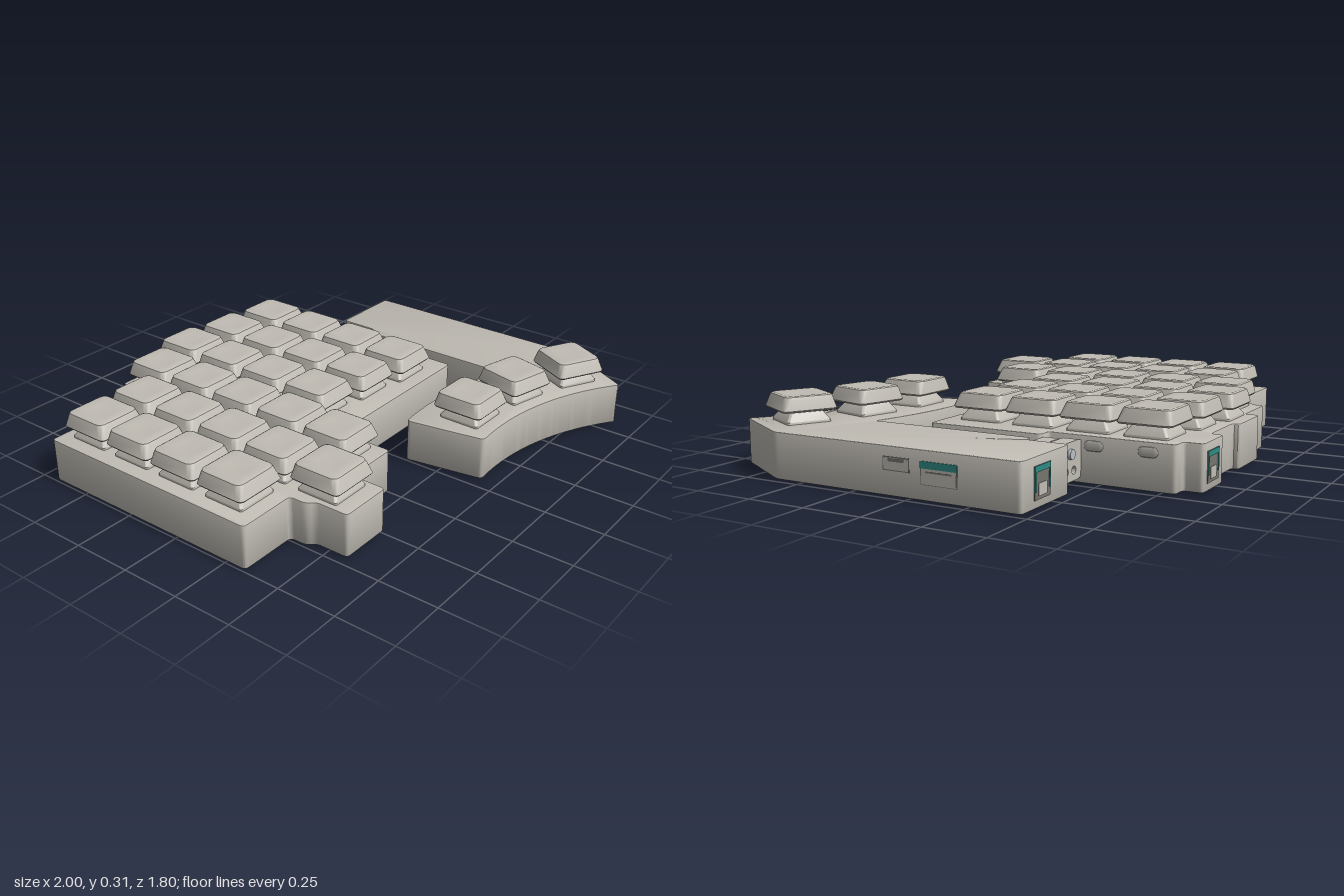
import * as THREE from 'three';
import { toCreasedNormals } from 'three/addons/utils/BufferGeometryUtils.js';

const material = (name, color) => Object.assign(new THREE.MeshStandardMaterial({ color }), { name });

// Closed shape with every corner rounded; points are [x, z] seen from above
function roundedShape(points, r) {
  const v = points.map(([x, z]) => new THREE.Vector2(x, -z));
  const shape = new THREE.Shape();
  v.forEach((p, i) => {
    const a = v[(i + v.length - 1) % v.length], b = v[(i + 1) % v.length];
    const from = p.clone().lerp(a, Math.min(0.45, r / p.distanceTo(a)));
    const to = p.clone().lerp(b, Math.min(0.45, r / p.distanceTo(b)));
    if (i === 0) shape.moveTo(from.x, from.y); else shape.lineTo(from.x, from.y);
    shape.quadraticCurveTo(p.x, p.y, to.x, to.y);
  });
  shape.closePath();
  return shape;
}

// Case: outline raised from y0 to y1 with a fine edge bevel
function caseGeometry(points, r, y0, y1) {
  const b = 0.005;
  const g = new THREE.ExtrudeGeometry(roundedShape(points, r), {
    depth: y1 - y0 - 2 * b, bevelThickness: b, bevelSize: b, bevelOffset: -b, bevelSegments: 2, curveSegments: 4,
  });
  g.rotateX(-Math.PI / 2).translate(0, y0 + b, 0);
  return toCreasedNormals(g, 0.5);
}

// Skin over rounded squares; each section is [width, cornerRadius, y, zShift]
function squareLoft(sections) {
  const pos = [], index = [], n = 20;
  for (const [w, r, y, dz = 0] of sections) {
    for (let j = 0; j < n; j++) {
      const corner = Math.floor(j / 5), t = (corner + (j % 5) / 4) * Math.PI / 2;
      const sx = corner === 0 || corner === 3 ? 1 : -1, sz = corner < 2 ? 1 : -1;
      pos.push(sx * (w / 2 - r) + Math.cos(t) * r, y, sz * (w / 2 - r) + Math.sin(t) * r + dz);
    }
  }
  for (let i = 0; i < sections.length - 1; i++) {
    for (let j = 0; j < n; j++) {
      const a = i * n + j, b = i * n + (j + 1) % n;
      index.push(a, a + n, b, b, a + n, b + n);
    }
  }
  const g = new THREE.BufferGeometry();
  g.setAttribute('position', new THREE.Float32BufferAttribute(pos, 3));
  g.setIndex(index);
  return toCreasedNormals(g, 0.6);
}

export function createModel() {
  const model = new THREE.Group();
  model.name = 'splitKeyboardHalf';
  const shell = material('warm grey plastic', 0xc0bcb4);
  const steel = material('pale steel', 0xb9c1c6);
  const teal = material('teal connector', 0x2f8a84);
  const dark = material('socket shadow', 0x77746f);

  const add = (name, geometry, mat, x = 0, y = 0, z = 0, parent = model) => {
    const m = new THREE.Mesh(geometry, mat);
    m.name = name;
    m.position.set(x, y, z);
    parent.add(m);
    return m;
  };
  const box = (name, mat, w, h, d, x, y, z, parent) =>
    add(name, new THREE.BoxGeometry(w, h, d), mat, x, y, z, parent);

  // Main case with stepped outline
  add('mainCase', caseGeometry([
    [-1, -0.67], [-0.515, -0.67], [-0.515, -0.76], [-0.485, -0.77], [-0.485, -0.82], [-0.245, -0.82],
    [-0.245, -0.88], [-0.01, -0.88], [-0.01, -0.85], [0.225, -0.85], [0.225, -0.90], [0.425, -0.90],
    [0.425, -0.82], [0.49, -0.82], [0.49, -0.30], [0.55, -0.30], [0.55, 0.20], [-0.22, 0.20],
    [-0.22, 0.27], [-0.25, 0.30], [-0.25, 0.44], [-0.47, 0.44], [-0.49, 0.47], [-0.49, 0.59],
    [-0.72, 0.59], [-0.72, 0.45], [-0.75, 0.42], [-0.75, 0.35], [-1, 0.35],
  ], 0.02, 0.01, 0.193), shell);

  // Thumb case: straight arm with a curved key shelf, arcs share one centre
  const arc = { x: 0.17, z: 1.78 };
  const arcPoints = (radius, x0, x1) => Array.from({ length: 13 }, (_, i) => {
    const x = x0 + (x1 - x0) * i / 12;
    return [x, arc.z - Math.sqrt(radius * radius - (x - arc.x) ** 2)];
  });
  add('thumbCase', caseGeometry([
    [0.66, -0.48], [1, -0.48], [1, 0.6], [0.825, 0.9],
    ...arcPoints(1.1, 0.80, 0.045), ...arcPoints(1.44, -0.01, 0.62),
    [0.62, -0.30], [0.66, -0.30],
  ], 0.02, 0.01, 0.193), shell);

  // Key: tapered switch housing, stem and dished cap
  const housingGeometry = squareLoft([[0.18, 0.01, 0.19], [0.18, 0.01, 0.202], [0.135, 0.01, 0.235], [0, 0, 0.235]]);
  const stemGeometry = new THREE.BoxGeometry(0.07, 0.025, 0.07);
  const capGeometry = squareLoft([
    [0, 0, 0.243], [0.215, 0.018, 0.243], [0.226, 0.022, 0.25], [0.203, 0.026, 0.292, -0.004],
    [0.194, 0.026, 0.303, -0.005], [0.178, 0.026, 0.307, -0.006], [0.1, 0.03, 0.303, -0.006], [0, 0, 0.302, -0.006],
  ]);
  const addKey = (name, x, z, turn = 0) => {
    const key = new THREE.Group();
    key.name = name;
    add('switchHousing', housingGeometry, shell, 0, 0, 0, key);
    add('switchStem', stemGeometry, shell, 0, 0.24, 0, key);
    add('keycap', capGeometry, shell, 0, 0, 0, key);
    key.position.set(x, 0, z);
    key.rotation.y = turn;
    model.add(key);
  };
  // Staggered columns: [rear key z, key count]
  [[-0.525, 4], [-0.525, 5], [-0.675, 5], [-0.735, 4], [-0.705, 4], [-0.675, 4]].forEach(([z, count], c) => {
    for (let r = 0; r < count; r++) addKey('fingerKey', -0.846 + c * 0.239, z + r * 0.239);
  });
  for (const angle of [0.016, 0.25, 0.49]) {
    addKey('thumbKey', arc.x + 1.25 * Math.sin(angle), arc.z - 1.25 * Math.cos(angle), -angle);
  }

  // Hinge plates with three bolt holes each
  const plate = (name, x0, x1, z, flip) => {
    const s = roundedShape([[x0, -0.03], [x1, -0.03], [x1, -0.18], [x0, -0.18]], 0.05);
    for (const [x, y] of [[0.575, 0.135], [0.545, 0.07], [0.605, 0.07]]) {
      s.holes.push(new THREE.Path().absarc(x + flip, y, 0.016, 0, Math.PI * 2, true));
    }
    add(name, new THREE.ExtrudeGeometry(s, { depth: 0.065, bevelEnabled: false, curveSegments: 8 }), shell, 0, 0, z);
  };
  plate('mainHingePlate', 0.47, 0.66, -0.438, 0);
  plate('thumbHingePlate', 0.49, 0.68, -0.368, 0);

  // Hinge rod and knuckles along z
  const rod = (name, mat, r, z0, z1, x, y) =>
    add(name, new THREE.CylinderGeometry(r, r, z1 - z0, 20).rotateX(Math.PI / 2), mat, x, y, (z0 + z1) / 2);
  rod('hingeRod', steel, 0.02, -0.45, 0.14, 0.575, 0.135);
  rod('lowerHingeRod', steel, 0.014, -0.30, -0.16, 0.605, 0.07);
  rod('frontKnuckle', shell, 0.034, 0.01, 0.125, 0.58, 0.12);
  box('hingeBlock', shell, 0.075, 0.11, 0.16, 0.585, 0.10, -0.08);

  // Rear cable sockets: dark opening with a teal rim
  const rearSocket = (x, z) => {
    const g = new THREE.Group();
    g.name = 'rearSocket';
    box('opening', dark, 0.11, 0.12, 0.004, 0, 0, 0, g);
    box('rimTop', teal, 0.11, 0.022, 0.008, 0, 0.049, 0, g);
    for (const s of [-1, 1]) box('rimSide', teal, 0.01, 0.08, 0.008, s * 0.05, 0.01, 0, g);
    box('contactTongue', shell, 0.06, 0.045, 0.008, 0, -0.025, 0, g);
    g.position.set(x, 0.1, z);
    model.add(g);
  };
  rearSocket(0.335, -0.901);
  rearSocket(0.86, -0.481);

  // Side sockets on the thumb case
  box('largeSocketOpening', dark, 0.006, 0.085, 0.155, 0.998, 0.11, -0.148);
  box('largeSocketBody', shell, 0.008, 0.074, 0.147, 0.998, 0.107, -0.148);
  box('largeSocketRim', teal, 0.009, 0.026, 0.155, 0.999, 0.14, -0.148);
  box('largeSocketSlot', dark, 0.009, 0.006, 0.11, 0.998, 0.115, -0.148);
  box('smallSocketOpening', dark, 0.006, 0.052, 0.116, 0.998, 0.129, 0.035);
  box('smallSocketBody', shell, 0.008, 0.044, 0.108, 0.998, 0.129, 0.035);
  box('smallSocketSlot', dark, 0.009, 0.012, 0.07, 0.998, 0.143, 0.035);

  // Oval button cutout on the main case side
  const oval = new THREE.CapsuleGeometry(0.02, 0.04, 4, 12).rotateX(Math.PI / 2).scale(0.2, 1, 1);
  add('sideButton', oval, shell, 0.49, 0.155, -0.71);
  add('sideButton', oval, shell, 0.49, 0.155, -0.49);

  // Screw heads under both cases
  const screw = new THREE.CylinderGeometry(0.022, 0.018, 0.012, 16);
  for (const [x, z] of [[0.26, -0.55], [0.18, -0.05], [-0.31, -0.1], [-0.77, -0.4], [-0.85, 0.12],
    [0.92, -0.32], [0.78, -0.36], [0.43, 0.64], [0.05, 0.44]]) {
    add('screwHead', screw, steel, x, 0.006, z);
  }
  return model;
}
